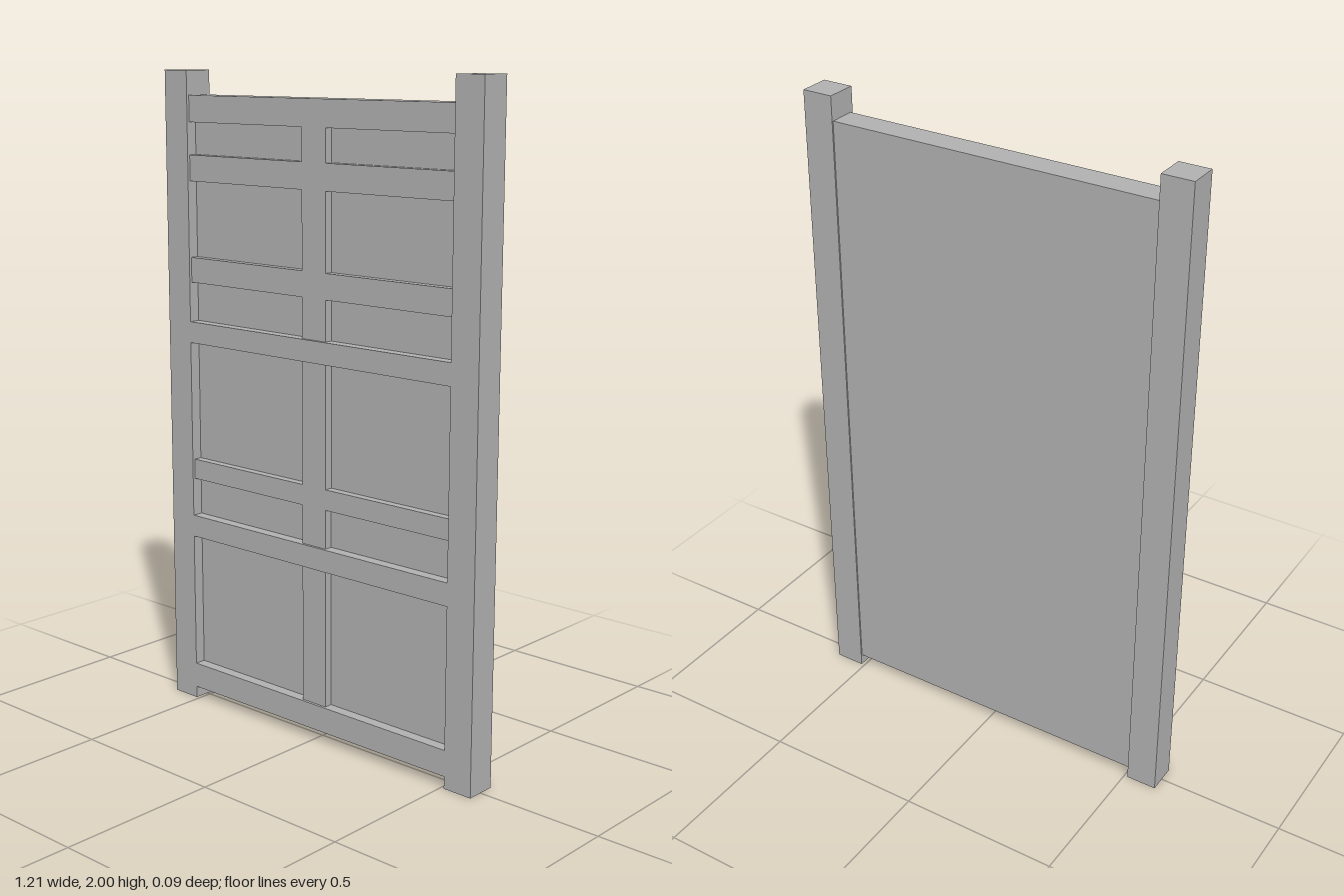
import * as THREE from 'three';

export function createModel() {
  const model = new THREE.Group();
  model.name = 'panelledFrame';
  const grey = new THREE.MeshStandardMaterial({ color: 0xb0b0b0 });
  grey.name = 'plain grey';

  // Box given by its limits on each axis
  function box(name, x0, x1, y0, y1, z0, z1) {
    const mesh = new THREE.Mesh(new THREE.BoxGeometry(x1 - x0, y1 - y0, z1 - z0), grey);
    mesh.position.set((x0 + x1) / 2, (y0 + y1) / 2, (z0 + z1) / 2);
    mesh.name = name;
    model.add(mesh);
  }

  const outer = 0.606, inner = 0.511, half = 0.0475;
  const panelBack = -0.043, panelFront = 0.013, recessed = 0.039;

  // Square corner posts
  box('rightPost', -outer, -inner, 0, 2, -half, half);
  box('leftPost', inner, outer, 0, 2, -half, half);

  // Solid backing panel
  box('backPanel', -inner, inner, 0.037, 1.926, panelBack, panelFront);

  // Rails, bottom to top: three main ones flush with the posts, the rest set back
  const rails = [
    ['bottomRail', 0.037, 0.117, half],
    ['lowerMainRail', 0.546, 0.615, half],
    ['lowerRail', 0.734, 0.797, recessed],
    ['middleMainRail', 1.171, 1.237, half],
    ['upperRail', 1.359, 1.436, recessed],
    ['highRail', 1.669, 1.748, recessed],
    ['topRail', 1.846, 1.926, recessed],
  ];
  rails.forEach(([name, y0, y1, front], i) => {
    box(name, -inner, inner, y0, y1, panelFront, front);
    // Centre stile piece filling the gap up to the next rail
    if (i < rails.length - 1) {
      box('centreStile' + (i + 1), -0.046, 0.046, y1, rails[i + 1][1], panelFront, recessed);
    }
  });

  return model;
}
